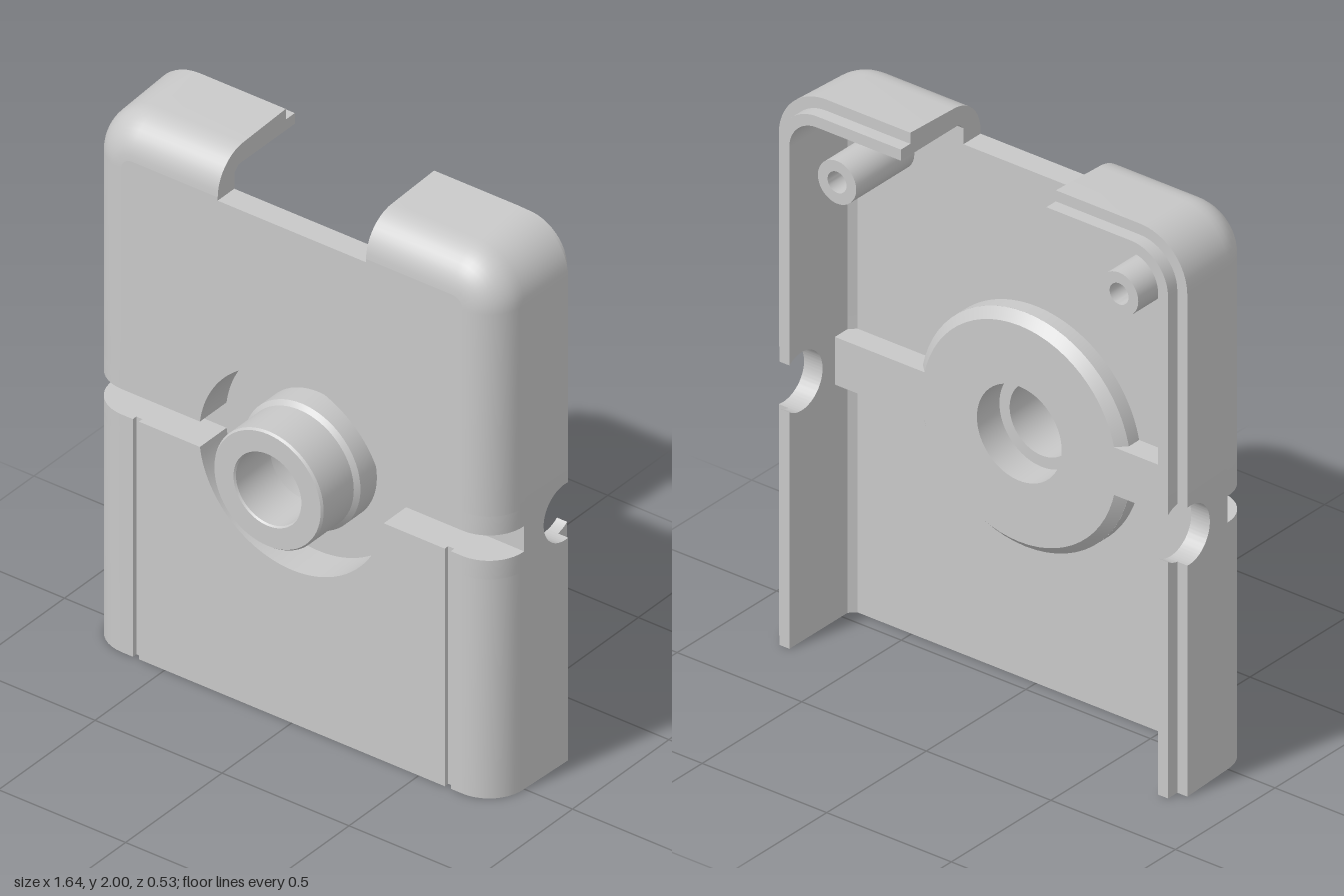
import * as THREE from 'three';
import { toCreasedNormals } from 'three/addons/utils/BufferGeometryUtils.js';

const W = 0.82, H = 2, R = 0.19;          // outer half width, height, corner radius
const CY = 0.9375, SLOT = 0.0475;         // centre of hub and half height of cross groove
const BACK = 0.052, FRONT = 0.138;        // inner and outer face of the front plate
const NOTCH = 0.292, INSET = 0.148;
const INNER = 0.74;                       // half width inside the walls

const V = (x, y) => new THREE.Vector2(x, y);

// Sweeps a closed (inset, z) profile along stations { p, n } with n pointing inward
function sweep(profile, stations) {
  const pos = [];
  const at = (i, j) => {
    const s = stations[i], [d, z] = profile[j % profile.length];
    return [s.p.x + s.n.x * d, s.p.y + s.n.y * d, z];
  };
  for (let i = 0; i < stations.length - 1; i++)
    for (let j = 0; j < profile.length; j++) {
      const a = at(i, j), b = at(i, j + 1), c = at(i + 1, j), d = at(i + 1, j + 1);
      pos.push(...a, ...c, ...b, ...c, ...d, ...b);
    }
  // end caps
  const flat = profile.map(([d, z]) => V(d, z));
  for (const t of THREE.ShapeUtils.triangulateShape(flat.slice(), [])) {
    const ccw = THREE.ShapeUtils.area(t.map(k => flat[k])) > 0;
    const f = ccw ? t : [t[0], t[2], t[1]];
    for (const k of [f[0], f[2], f[1]]) pos.push(...at(0, k));
    for (const k of f) pos.push(...at(stations.length - 1, k));
  }
  const g = new THREE.BufferGeometry();
  g.setAttribute('position', new THREE.Float32BufferAttribute(pos, 3));
  return g;
}

// Reflects a geometry in x and restores the corner order
function mirrorX(geo) {
  const g = geo.index ? geo.toNonIndexed() : geo.clone();
  const p = g.attributes.position, a = new THREE.Vector3(), b = new THREE.Vector3();
  for (let i = 0; i < p.count; i += 3) {
    a.fromBufferAttribute(p, i + 1);
    b.fromBufferAttribute(p, i + 2);
    p.setXYZ(i, -p.getX(i), p.getY(i), p.getZ(i));
    p.setXYZ(i + 1, -b.x, b.y, b.z);
    p.setXYZ(i + 2, -a.x, a.y, a.z);
  }
  return g;
}

function extrude(shape, z0, z1) {
  return new THREE.ExtrudeGeometry(shape, { depth: z1 - z0, bevelEnabled: false, curveSegments: 32 }).translate(0, 0, z0);
}

function box(x0, x1, y0, y1, z0, z1) {
  return new THREE.BoxGeometry(x1 - x0, y1 - y0, z1 - z0).translate((x0 + x1) / 2, (y0 + y1) / 2, (z0 + z1) / 2);
}

// Lathe about the z axis
function turned(points, segments) {
  return new THREE.LatheGeometry(points.map(([r, z]) => V(r, z)), segments).rotateX(Math.PI / 2);
}

export function createModel() {
  const model = new THREE.Group();
  model.name = 'enclosureHalf';
  const grey = new THREE.MeshStandardMaterial({ color: 0xc8c8c8 });
  grey.name = 'light grey plastic';

  const add = (name, geo) => {
    const g = geo.index ? geo.toNonIndexed() : geo;
    g.deleteAttribute('normal');
    g.computeVertexNormals();
    const m = new THREE.Mesh(toCreasedNormals(g, 0.5), grey);
    m.name = name;
    model.add(m);
  };
  const addPair = (name, geo) => {
    add(name + 'Right', mirrorX(geo));
    add(name + 'Left', geo);
  };

  // Wall profile: stepped lip at the back, rounded edge at the front
  const rounded = [];
  for (let i = 0; i <= 10; i++) {
    const a = i / 10 * Math.PI / 2;
    rounded.push([INSET - FRONT * Math.cos(a), FRONT * Math.sin(a)]);
  }
  const inset = W - INNER;
  const edge = [...rounded, [INSET, BACK], [inset + 0.022, BACK], [inset, 0.03], [inset, 0]];
  const wall = [[inset, -0.262], [0.04, -0.262], [0.04, -0.215], [0, -0.215], ...edge];

  const side = y => ({ p: V(W, y), n: V(-1, 0) });
  const B0 = 0.82, B1 = 1.055;            // band that holds the side port
  const upper = [side(B1)];
  for (let i = 0; i <= 12; i++) {
    const a = i / 12 * Math.PI / 2, c = Math.cos(a), s = Math.sin(a);
    upper.push({ p: V(W - R + R * c, H - R + R * s), n: V(-c, -s) });
  }
  upper.push({ p: V(NOTCH, H), n: V(0, -1) });
  addPair('lowerWall', sweep(wall, [side(0), side(B0)]));
  addPair('upperWall', sweep(wall, upper));
  addPair('edgeBelowGroove', sweep(edge, [side(B0), side(CY - SLOT)]));
  addPair('edgeAboveGroove', sweep(edge, [side(CY + SLOT), side(B1)]));

  // Side wall around the round port, drawn in (-z, y) and extruded along x
  const pr = 0.105, pu = 0.2;
  const a0 = Math.acos(0.015 / pr), a1 = Math.acos(0.062 / pr);
  const port = new THREE.Shape();
  port.moveTo(0, B0);
  port.lineTo(0.215, B0);
  port.absarc(pu, CY, pr, -a0, a0, true);
  port.lineTo(0.215, B1);
  port.lineTo(0, B1);
  const portWall = extrude(port, INNER, W).rotateY(Math.PI / 2);
  const pp = portWall.attributes.position;
  for (let i = 0; i < pp.count; i++)      // slight draft
    if (pp.getX(i) > 0.78) pp.setX(i, W - 0.01 * (pp.getZ(i) + 0.215) / 0.215);
  addPair('portWall', portWall);
  for (const s of [-1, 1]) {
    const end = s < 0 ? B0 : B1;
    const pts = [V(0.215, end), V(0.262, end)];
    for (let i = 0; i <= 6; i++) {
      const a = a1 + (a0 - a1) * i / 6;
      pts.push(V(pu + pr * Math.cos(a), CY + s * pr * Math.sin(a)));
    }
    addPair(s < 0 ? 'portLipLower' : 'portLipUpper',
      extrude(new THREE.Shape(pts), INNER, 0.78).rotateY(Math.PI / 2));
  }

  // Front plate, split by the cross groove and cut by the round recess
  const rr = 0.365, ra = Math.asin(SLOT / rr);
  const px = W - INSET, pt = H - INSET, pc = R - INSET;
  const top = new THREE.Shape();
  top.moveTo(px, CY + SLOT);
  top.lineTo(px, pt - pc);
  top.absarc(px - pc, pt - pc, pc, 0, Math.PI / 2, false);
  top.lineTo(NOTCH, pt);
  top.lineTo(NOTCH, 1.84);
  top.lineTo(-NOTCH, 1.84);
  top.lineTo(-NOTCH, pt);
  top.absarc(-px + pc, pt - pc, pc, Math.PI / 2, Math.PI, false);
  top.lineTo(-px, CY + SLOT);
  top.absarc(0, CY, rr, Math.PI - ra, ra, true);
  add('upperPlate', extrude(top, BACK, FRONT));

  const lower = x => {
    const s = new THREE.Shape();
    s.moveTo(-x, 0);
    s.lineTo(x, 0);
    s.lineTo(x, CY - SLOT);
    s.absarc(0, CY, rr, -ra, -Math.PI + ra, true);
    s.lineTo(-x, CY - SLOT);
    return s;
  };
  add('lowerPlate', extrude(lower(px), BACK, 0.12));
  add('lowerPlateFace', extrude(lower(0.602), 0.12, FRONT));
  addPair('lowerPlateStrip', box(0.626, px, 0, CY - SLOT, 0.12, FRONT));

  // Recess wall standing out behind the plate
  const ro = 0.422, oa = Math.asin(SLOT / ro);
  for (const up of [true, false]) {
    const o = up ? 0 : Math.PI;
    const ring = new THREE.Shape();
    ring.absarc(0, CY, ro, o + oa, o + Math.PI - oa, false);
    ring.absarc(0, CY, rr, o + Math.PI - ra, o + ra, true);
    add(up ? 'recessWallUpper' : 'recessWallLower', extrude(ring, 0, BACK + 0.005));
  }

  // Recess floor, flange and bored hub
  const floor = -0.033;
  add('hub', turned([
    [0.17, floor], [0.39, floor], [ro, 0], [0.23, 0], [0.23, 0.085], [0.215, 0.1],
    [0.215, 0.256], [0.209, 0.264], [0.134, 0.264], [0.129, 0.258], [0.129, 0.08],
    [0.17, 0.08], [0.17, floor]], 64).translate(0, CY, 0));

  // Channel ribs behind the cross groove
  const rh = 0.086;
  addPair('ribFloor', box(0.375, INNER + 0.005, CY - rh, CY + rh, floor, 0));
  addPair('ribUpperSide', box(0.4, INNER + 0.005, CY + SLOT, CY + rh, 0, BACK + 0.005));
  addPair('ribLowerSide', box(0.4, INNER + 0.005, CY - rh, CY - SLOT, 0, BACK + 0.005));

  // Screw posts in the upper corners
  addPair('screwPost', turned([
    [0, -0.06], [0.038, -0.06], [0.038, -0.24], [0.077, -0.24], [0.077, BACK + 0.005]], 32)
    .translate(0.566, 1.735, 0));

  return model;
}
